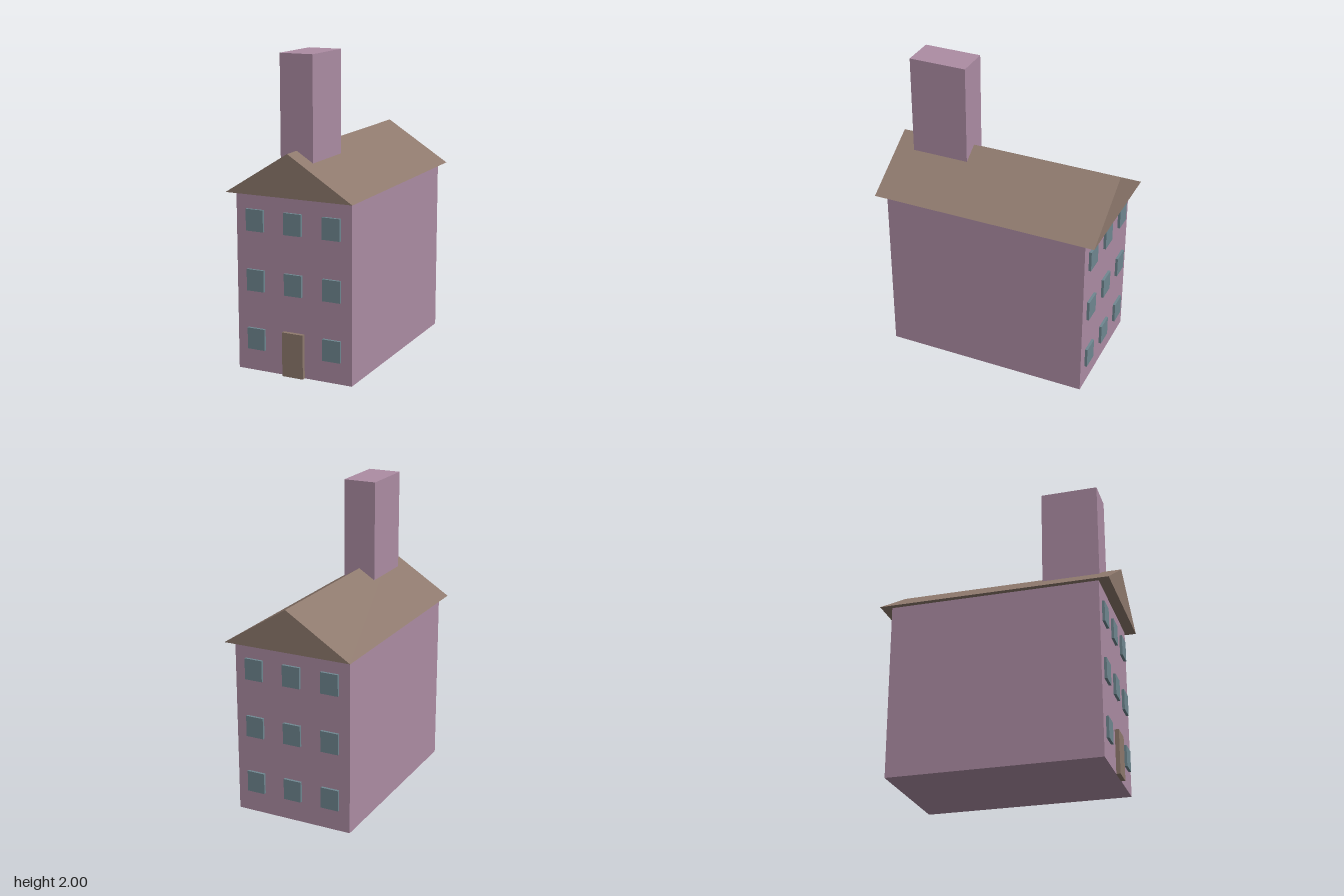
import * as THREE from 'three';

export function createModel() {
  const house = new THREE.Group();
  house.name = 'house';

  const mat = (name, color) => {
    const m = new THREE.MeshStandardMaterial({ color });
    m.name = name;
    return m;
  };
  const mauve = mat('mauve wall', 0xac8ca3);
  const brown = mat('brown roof', 0x8e796d);
  const glass = mat('blue grey glass', 0x6f8790);

  const add = (name, geometry, material, x, y, z) => {
    const mesh = new THREE.Mesh(geometry, material);
    mesh.name = name;
    mesh.position.set(x, y, z);
    house.add(mesh);
    return mesh;
  };

  // Walls
  const wallTop = 1.147;
  add('walls', new THREE.BoxGeometry(0.79, wallTop, 1.36), mauve, 0, wallTop / 2, 0);

  // Gabled roof, a solid prism overhanging all sides
  const gable = new THREE.Shape();
  gable.moveTo(-0.43, 0);
  gable.lineTo(0.43, 0);
  gable.lineTo(0, 0.27);
  gable.closePath();
  const roof = new THREE.ExtrudeGeometry(gable, { depth: 1.5, bevelEnabled: false });
  add('roof', roof, brown, 0, wallTop, -0.75);

  // Chimney astride the ridge, sunk into the roof
  const chimneyBase = 1.25;
  add('chimney', new THREE.BoxGeometry(0.22, 2 - chimneyBase, 0.38), mauve,
    0, (2 + chimneyBase) / 2, 0.437);

  // Door
  add('door', new THREE.BoxGeometry(0.144, 0.285, 0.027), brown, 0, 0.1425, 0.6925);

  // Three rows of windows on front and back; the door takes the front middle place
  const pane = new THREE.BoxGeometry(0.12, 0.138, 0.02);
  for (const side of [1, -1]) {
    for (const y of [0.21, 0.59, 0.973]) {
      for (const x of [-0.262, 0, 0.262]) {
        if (side === 1 && x === 0 && y < 0.3) continue;
        add(side === 1 ? 'frontWindow' : 'backWindow', pane, glass, x, y, side * 0.687);
      }
    }
  }

  return house;
}
